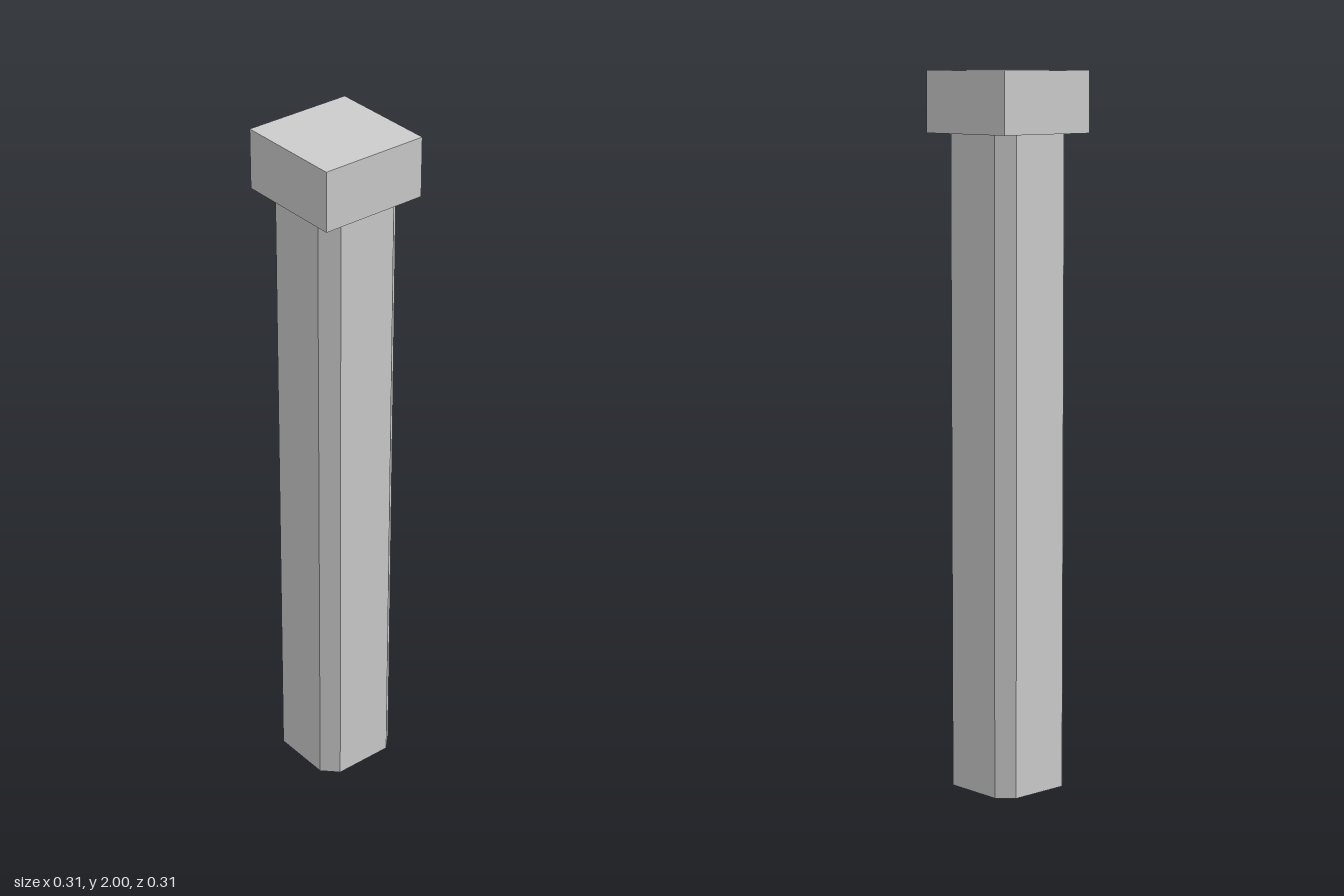
import * as THREE from 'three';

export function createModel() {
  const group = new THREE.Group();
  const stone = new THREE.MeshStandardMaterial({ color: 0xcccccc });
  stone.name = 'light grey stone';

  const half = 0.13;      // half width of the shaft
  const flat = 0.088;     // half width of each flat side between chamfers
  const capBottom = 1.83;
  const capWidth = 0.314;

  // Shaft: square section with chamfered corners, extruded upward
  const section = new THREE.Shape([
    [half, -flat], [half, flat], [flat, half], [-flat, half],
    [-half, flat], [-half, -flat], [-flat, -half], [flat, -half],
  ].map(([x, y]) => new THREE.Vector2(x, y)));
  const shaftGeometry = new THREE.ExtrudeGeometry(section, { depth: capBottom, bevelEnabled: false });
  shaftGeometry.rotateX(-Math.PI / 2);
  const shaft = new THREE.Mesh(shaftGeometry, stone);
  shaft.name = 'shaft';
  group.add(shaft);

  // Cap: square block on top
  const capHeight = 2 - capBottom;
  const cap = new THREE.Mesh(new THREE.BoxGeometry(capWidth, capHeight, capWidth), stone);
  cap.position.y = capBottom + capHeight / 2;
  cap.name = 'cap';
  group.add(cap);

  return group;
}
